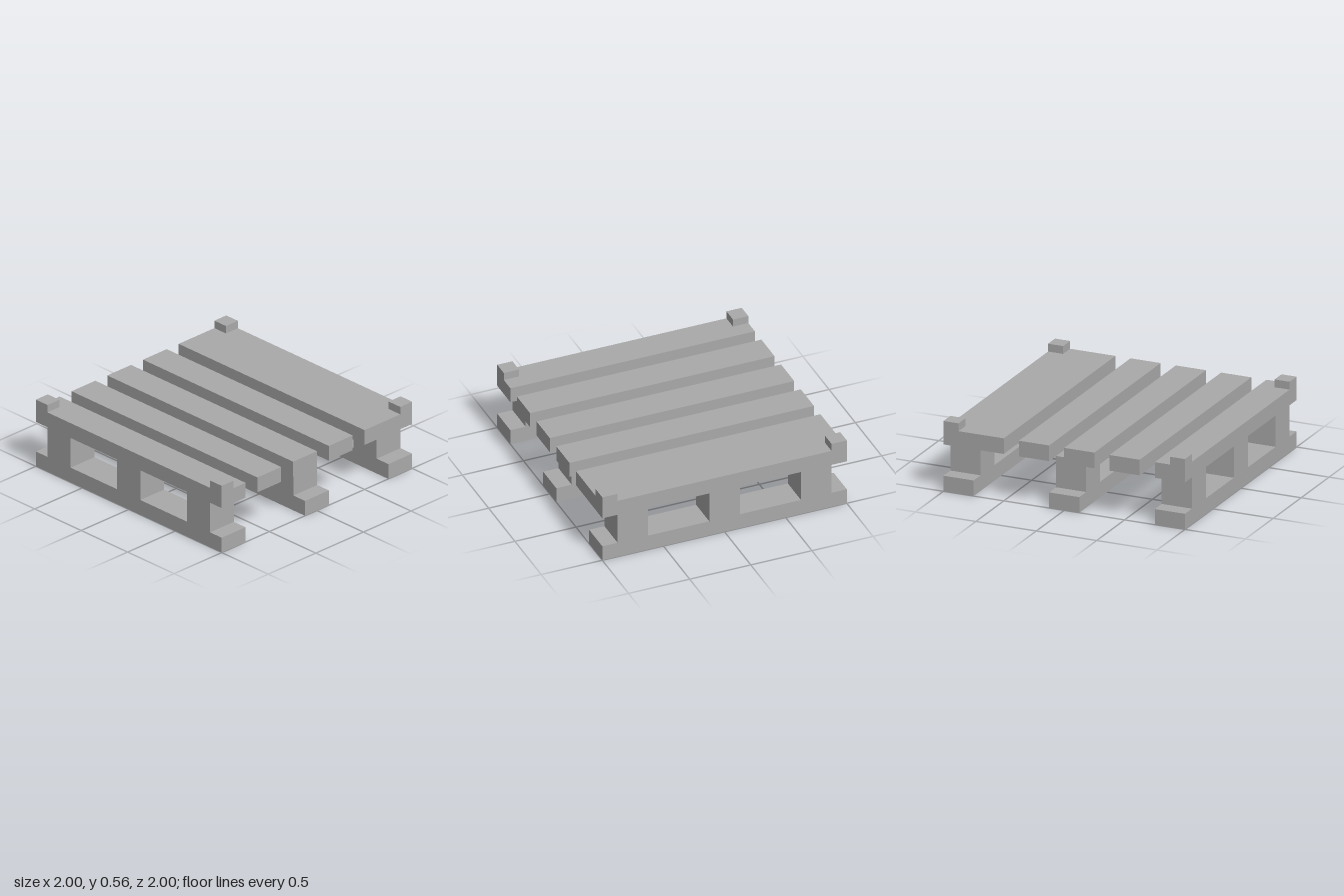
import * as THREE from 'three';

export function createModel() {
  const pallet = new THREE.Group();
  pallet.name = 'pallet';

  const grey = new THREE.MeshStandardMaterial({ color: 0xaaaaaa });
  grey.name = 'plain grey';

  // Box resting on height y, centred on x and z
  function addBox(parent, name, [w, h, d], [x, y, z]) {
    const mesh = new THREE.Mesh(new THREE.BoxGeometry(w, h, d), grey);
    mesh.name = name;
    mesh.position.set(x, y + h / 2, z);
    parent.add(mesh);
  }

  // Three bearers: a bottom runner carrying three blocks
  for (const z of [-0.875, 0, 0.875]) {
    const bearer = new THREE.Group();
    bearer.name = 'bearer';
    bearer.position.z = z;
    addBox(bearer, 'runner', [2, 0.125, 0.25], [0, 0, 0]);
    for (const x of [-0.75, 0, 0.75]) {
      addBox(bearer, 'block', [0.25, 0.25, 0.25], [x, 0.125, 0]);
    }
    pallet.add(bearer);
  }

  // Deck slats as [back z, front z]; the rear one is double width
  const slats = [[-1, -0.5], [-0.375, -0.125], [0, 0.25], [0.375, 0.625], [0.75, 1]];
  for (const [back, front] of slats) {
    addBox(pallet, 'deckSlat', [2, 0.125, front - back], [0, 0.375, (back + front) / 2]);
  }

  // Corner stops on the deck
  for (const x of [-1, 1]) {
    for (const z of [-1, 1]) {
      addBox(pallet, 'cornerStop', [0.125, 0.0625, 0.125], [x * 0.9375, 0.5, z * 0.9375]);
    }
  }

  return pallet;
}
